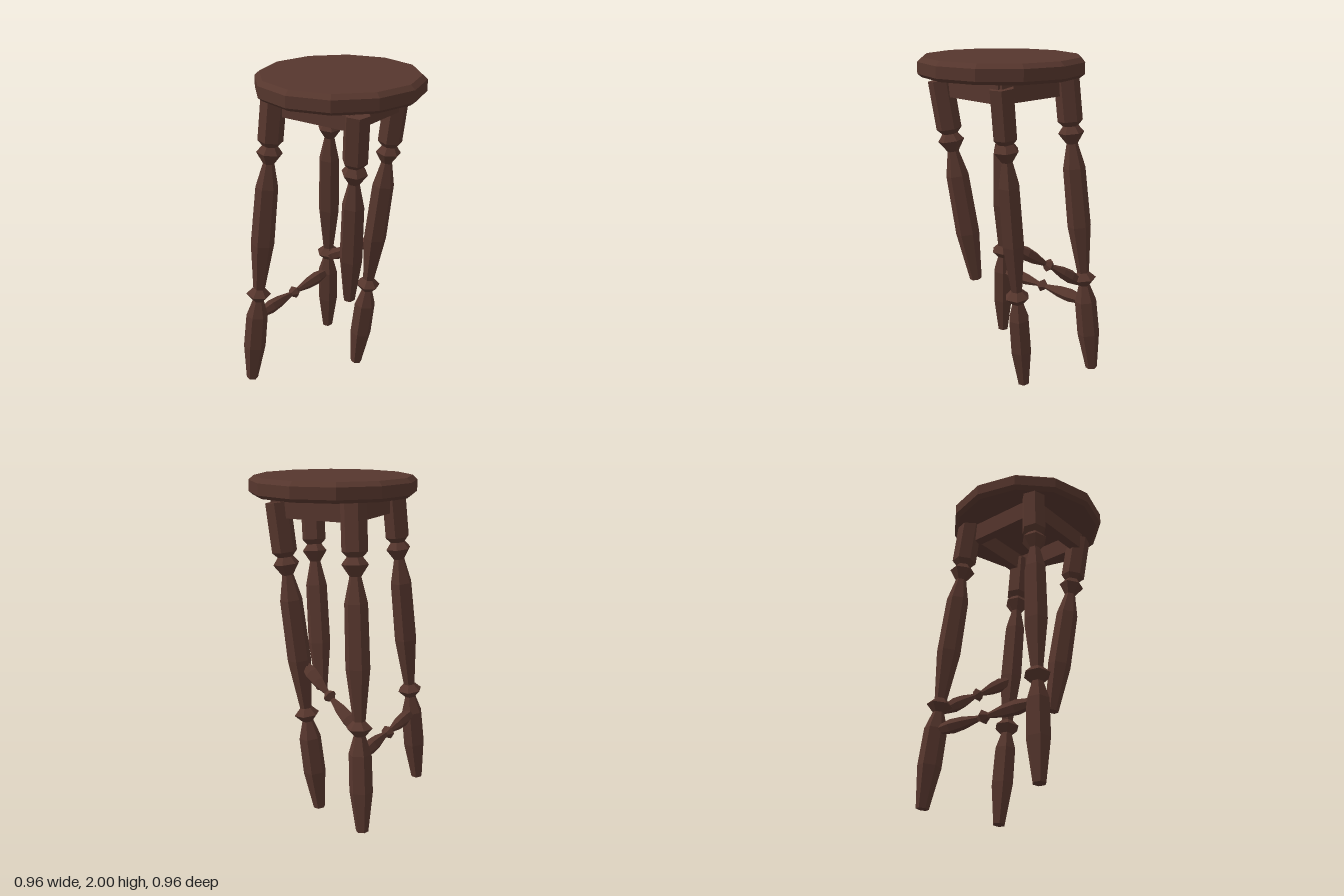
import * as THREE from 'three';

const wood = new THREE.MeshStandardMaterial({ color: 0x56362d, flatShading: true });
wood.name = 'darkWood';

// Closed faceted turning from [radius, height] pairs
function turned(profile, sides, phase = 0) {
  const first = profile[0][1], last = profile[profile.length - 1][1];
  const pts = [[0, first], ...profile, [0, last]].map(([r, y]) => new THREE.Vector2(r, y));
  return new THREE.LatheGeometry(pts, sides, phase);
}

// Mesh whose y axis runs from one point towards another
function along(geometry, from, to, name) {
  const mesh = new THREE.Mesh(geometry, wood);
  const a = new THREE.Vector3(...from), b = new THREE.Vector3(...to);
  mesh.position.copy(a);
  mesh.quaternion.setFromUnitVectors(new THREE.Vector3(0, 1, 0), b.sub(a).normalize());
  mesh.name = name;
  return mesh;
}

// Leg profile, measured from the foot: two swellings, two beads, a plain top block
const LEG = [
  [0.036, 0], [0.068, 0.24], [0.066, 0.46], [0.034, 0.565], [0.076, 0.61], [0.036, 0.65],
  [0.07, 0.95], [0.066, 1.31], [0.033, 1.455], [0.076, 1.52], [0.045, 1.56], [0.073, 1.59], [0.073, 1.87],
];

function stretcher(from, to, name) {
  const length = new THREE.Vector3(...from).distanceTo(new THREE.Vector3(...to));
  const shape = [
    [0.022, 0], [0.042, 0.18], [0.036, 0.3], [0.016, 0.45], [0.042, 0.5],
    [0.016, 0.55], [0.036, 0.7], [0.042, 0.82], [0.022, 1],
  ];
  return along(turned(shape.map(([r, t]) => [r, t * length]), 6), from, to, name);
}

export function createModel() {
  const group = new THREE.Group();
  group.name = 'brokenStool';

  // Twelve-sided bevelled seat
  const seat = new THREE.Mesh(turned([[0.455, 1.89], [0.48, 1.91], [0.48, 1.975], [0.452, 2]], 12), wood);
  seat.name = 'seat';
  group.add(seat);

  // Apron frame under the seat
  for (let i = 0; i < 4; i++) {
    const rail = new THREE.Mesh(new THREE.BoxGeometry(0.5, 0.13, 0.06), wood);
    const angle = i * Math.PI / 2;
    rail.position.set(Math.sin(angle) * 0.235, 1.84, Math.cos(angle) * 0.235);
    rail.rotation.y = angle;
    rail.name = 'apronRail';
    group.add(rail);
  }

  // Three whole legs, a corner of each hexagon facing outwards
  const legs = [
    ['backLeftLeg', [0.405, 0.05, -0.405], [0.26, 1.9, -0.26]],
    ['backRightLeg', [-0.405, 0.05, -0.405], [-0.26, 1.9, -0.26]],
    ['frontLeftLeg', [0.193, 0.005, -0.008], [0.237, 1.9, 0.23]],
  ];
  for (const [name, foot, top] of legs) {
    const phase = Math.atan2(Math.sign(top[0]), Math.sign(top[2]));
    group.add(along(turned(LEG, 6, phase), foot, top, name));
  }

  // Snapped leg: only the part above the lower bead
  const stump = LEG.slice(5).map(([r, y]) => [r, y - 0.65]);
  group.add(along(turned(stump, 6, -Math.PI / 4), [-0.09, 0.66, 0.13], [-0.223, 1.89, 0.27], 'brokenFrontRightLeg'));

  // Stretchers: level one at the back, slipped one on the left
  group.add(stretcher([-0.37, 0.5, -0.372], [0.37, 0.5, -0.372], 'backStretcher'));
  group.add(stretcher([0.35, 0.625, -0.35], [0.2, 0.93, 0.1], 'leftStretcher'));

  return group;
}
